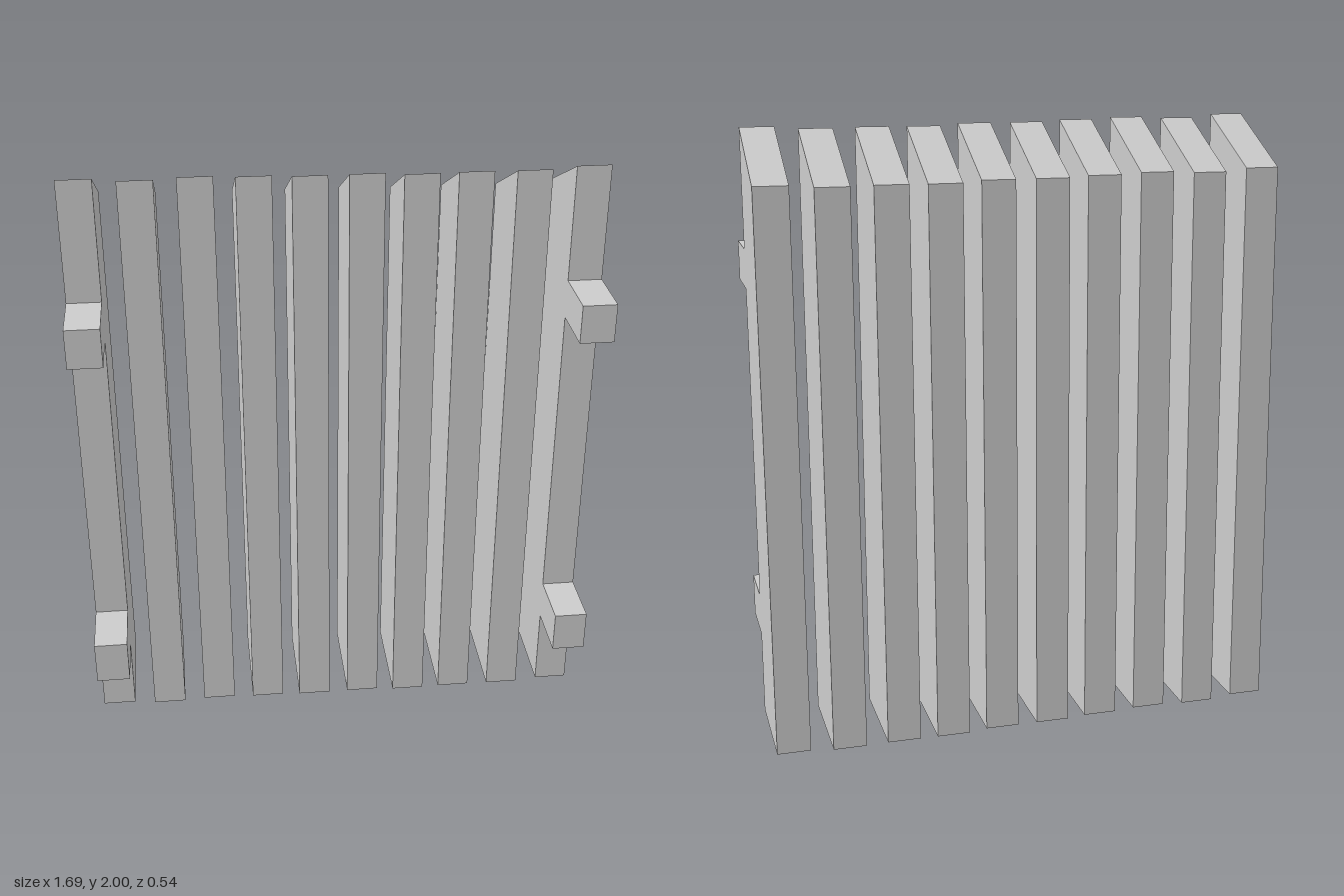
import * as THREE from 'three';

const WIDTH = 0.11, FRONT = 0.075;

// Side outline (z, y) of a slat, with optional mounting tabs [bottom, top] on the front edge
function slatGeometry(tabs) {
  const points = [[-0.27, 0], [-0.233, 1.823], [FRONT, 1.976]];
  for (const [low, high] of tabs) {
    points.push([FRONT, high], [0.27, high], [0.27, low], [FRONT, low]);
  }
  points.push([FRONT, 0]);
  // Shape is drawn in (-z, y), then turned so that its depth runs along x
  const shape = new THREE.Shape(points.map(([z, y]) => new THREE.Vector2(-z, y)));
  const geometry = new THREE.ExtrudeGeometry(shape, { depth: WIDTH, bevelEnabled: false });
  geometry.translate(0, 0, -WIDTH / 2);
  geometry.rotateY(Math.PI / 2);
  return geometry;
}

export function createModel() {
  const model = new THREE.Group();
  model.name = 'slattedPanel';
  const material = new THREE.MeshStandardMaterial({ color: 0xcccccc, flatShading: true });

  // Slightly uneven slats: [centre x, lift above the ground]
  const slats = [
    [-0.793, 0.024], [-0.613, 0.014], [-0.434, 0.019], [-0.258, 0.014], [-0.088, 0.009],
    [0.087, 0.009], [0.255, 0.002], [0.423, 0.003], [0.604, 0.001], [0.788, 0.009],
  ];
  // Tabs of the two end slats, measured from the foot of the slat
  const rightTabs = [[1.447, 1.577], [0.258, 0.405]];
  const leftTabs = [[1.467, 1.595], [0.281, 0.421]];

  slats.forEach(([x, lift], i) => {
    const tabs = i === 0 ? rightTabs : i === slats.length - 1 ? leftTabs : [];
    const slat = new THREE.Mesh(slatGeometry(tabs), material);
    slat.name = tabs.length ? (i === 0 ? 'rightEndSlatWithTabs' : 'leftEndSlatWithTabs') : `slat${i}`;
    slat.position.set(x, lift, 0);
    model.add(slat);
  });
  return model;
}
